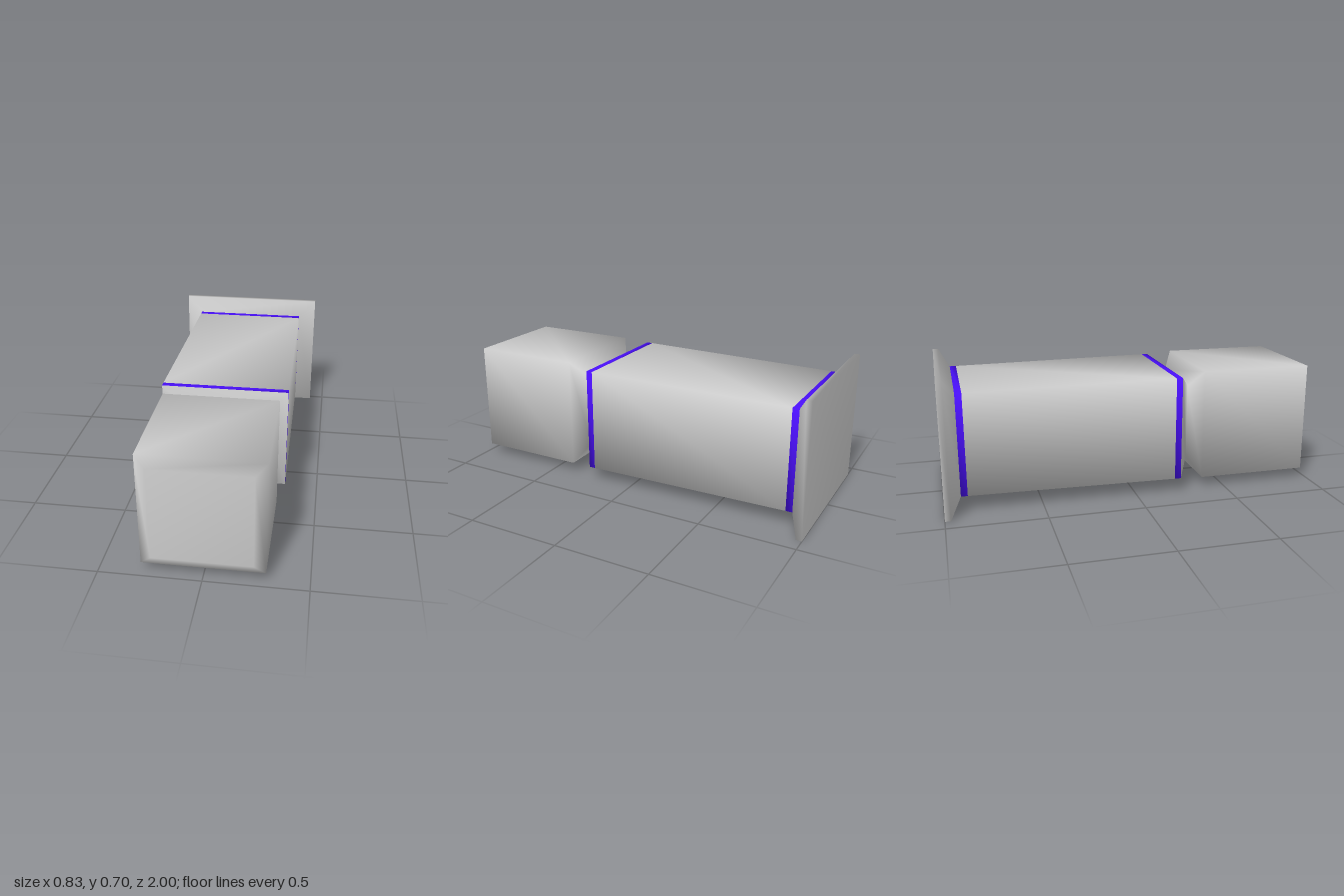
import * as THREE from 'three';

const MID_Y = 0.35;
const grey = new THREE.MeshStandardMaterial({ color: 0xcccccc });
const violet = new THREE.MeshStandardMaterial({ color: 0x4a0fff });
const blue = new THREE.MeshStandardMaterial({ color: 0x149dfa });

// Smooth rectangular loft; rings run front to back as [z, halfWidth, halfHeight]
function loft(name, rings, material, capFront = false, capBack = false) {
  const corners = [[-1, -1], [1, -1], [1, 1], [-1, 1]];
  const pos = [], idx = [];
  for (const [z, w, h] of rings)
    for (const [sx, sy] of corners) pos.push(sx * w, MID_Y + sy * h, z);
  for (let i = 0; i < rings.length - 1; i++)
    for (let j = 0; j < 4; j++) {
      const a = i * 4 + j, b = i * 4 + (j + 1) % 4;
      idx.push(a, a + 4, b, b, a + 4, b + 4);
    }
  if (capFront) idx.push(0, 1, 2, 0, 2, 3);
  const n = (rings.length - 1) * 4;
  if (capBack) idx.push(n, n + 2, n + 1, n, n + 3, n + 2);
  const geo = new THREE.BufferGeometry();
  geo.setAttribute('position', new THREE.Float32BufferAttribute(pos, 3));
  geo.setIndex(idx);
  geo.computeVertexNormals();
  const mesh = new THREE.Mesh(geo, material);
  mesh.name = name;
  return mesh;
}

// Flat marking on the underside of the head
function marking(name, x, z, w, d) {
  const mesh = new THREE.Mesh(new THREE.PlaneGeometry(w, d), blue);
  mesh.rotation.x = Math.PI / 2;
  mesh.position.set(x, 0.053, z);
  mesh.name = name;
  return mesh;
}

export function createModel() {
  const group = new THREE.Group();
  group.name = 'blockColumn';

  // Chamfered head, pinched neck and collar
  group.add(loft('headAndNeck', [
    [1, 0.24, 0.24], [0.97, 0.295, 0.295], [0.377, 0.295, 0.295],
    [0.316, 0.2, 0.2], [0.244, 0.329, 0.276],
  ], grey, true));

  // Slightly tapered shaft between two coloured bands
  group.add(loft('frontBand', [[0.244, 0.329, 0.276], [0.211, 0.329, 0.276]], violet));
  group.add(loft('shaft', [[0.211, 0.329, 0.276], [-0.88, 0.319, 0.266]], grey));
  group.add(loft('rearBand', [[-0.88, 0.319, 0.266], [-0.914, 0.318, 0.266]], violet));

  // Flared end plate
  group.add(loft('endPlate', [
    [-0.914, 0.318, 0.266], [-0.97, 0.417, 0.35], [-1, 0.417, 0.35],
  ], grey, false, true));

  // Underside markings
  group.add(marking('longMarking', 0, 0.54, 0.26, 0.02));
  for (const s of [-1, 1])
    group.add(marking(s > 0 ? 'leftMarking' : 'rightMarking', s * 0.185, 0.825, 0.09, 0.045));

  return group;
}
